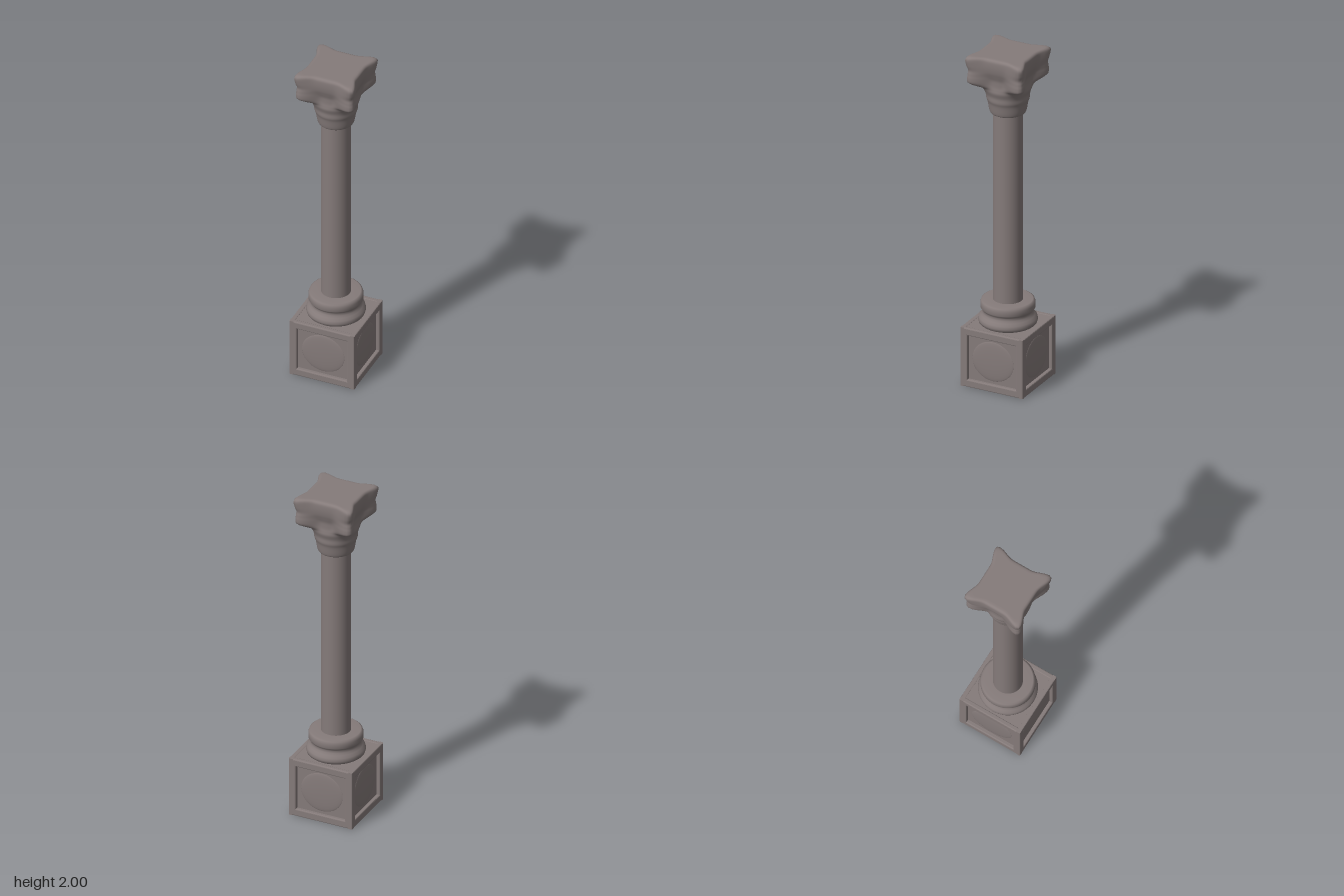
import * as THREE from 'three';

const material = new THREE.MeshStandardMaterial({ color: 0x857b7a });

function add(parent, name, geometry) {
  const mesh = new THREE.Mesh(geometry, material);
  mesh.name = name;
  parent.add(mesh);
  return mesh;
}

// Rectangle outline, centred on x, between two heights
function rect(path, halfWidth, y0, y1) {
  path.moveTo(-halfWidth, y0);
  path.lineTo(halfWidth, y0);
  path.lineTo(halfWidth, y1);
  path.lineTo(-halfWidth, y1);
  path.closePath();
  return path;
}

// Square pedestal: core block, four raised frames, softly domed panels
function createPedestal() {
  const group = new THREE.Group();
  group.name = 'pedestal';
  add(group, 'pedestalCore', new THREE.BoxGeometry(0.35, 0.351, 0.35)).position.y = 0.178;

  const bevel = 0.006;
  const outline = rect(new THREE.Shape(), 0.196 - bevel, bevel, 0.356 - bevel);
  outline.holes.push(rect(new THREE.Path(), 0.151 + bevel, 0.044 - bevel, 0.312 + bevel));
  const frame = new THREE.ExtrudeGeometry(outline, {
    depth: 0.016, bevelEnabled: true, bevelSize: bevel, bevelThickness: bevel, bevelSegments: 2,
  });
  const dome = new THREE.SphereGeometry(1, 32, 8, 0, Math.PI * 2, 0, Math.PI / 2);
  dome.rotateX(Math.PI / 2);
  dome.scale(0.13, 0.12, 0.009);

  for (let i = 0; i < 4; i++) {
    const side = new THREE.Group();
    side.name = 'pedestalSide';
    side.rotation.y = i * Math.PI / 2;
    add(side, 'panelFrame', frame).position.z = 0.174;
    add(side, 'panelDome', dome).position.set(0, 0.178, 0.174);
    group.add(side);
  }
  return group;
}

// Capital sections: [height, half width, squareness, corner bulge, corner sharpness]
const sections = [
  [1.635, 0.086, 2, 0, 4],
  [1.637, 0.098, 2, 0, 4],
  [1.655, 0.105, 2, 0, 4],
  [1.70, 0.113, 2, 0, 4],
  [1.725, 0.121, 2, 0, 4],
  [1.755, 0.122, 2, 0.004, 4],
  [1.785, 0.131, 2, 0.008, 4],
  [1.805, 0.130, 2.1, 0.025, 4],
  [1.822, 0.128, 2.2, 0.068, 5],
  [1.84, 0.128, 2.3, 0.098, 6],
  [1.865, 0.130, 2.5, 0.097, 6],
  [1.89, 0.138, 3.2, 0.076, 7],
  [1.915, 0.146, 5, 0.050, 8],
  [1.945, 0.151, 8, 0.045, 10],
  [1.975, 0.152, 10, 0.047, 12],
  [1.99, 0.149, 10, 0.045, 12],
  [1.998, 0.140, 10, 0.040, 12],
  [2.0, 0.125, 10, 0.034, 12],
];

// Round bell swelling into four corner scrolls and a concave square slab
function createCapital() {
  const around = 96, rows = 72;
  const curve = (k) => new THREE.SplineCurve(sections.map((s, i) => new THREE.Vector2(i, s[k])));
  const curves = [0, 1, 2, 3, 4].map(curve);
  const positions = [], indices = [];
  for (let j = 0; j <= rows; j++) {
    const [y, half, square, bulge, sharp] = curves.map((c) => c.getPoint(j / rows).y);
    for (let i = 0; i < around; i++) {
      const a = i / around * Math.PI * 2;
      const c = Math.abs(Math.cos(a)), s = Math.abs(Math.sin(a));
      const r = half * Math.pow(Math.pow(c, square) + Math.pow(s, square), -1 / square)
        + bulge * Math.pow(2 * c * s, sharp);
      positions.push(r * Math.sin(a), Math.min(y, 2), r * Math.cos(a));
    }
  }
  for (let j = 0; j < rows; j++) {
    for (let i = 0; i < around; i++) {
      const a = j * around + i, b = j * around + (i + 1) % around;
      indices.push(a, b, b + around, a, b + around, a + around);
    }
  }
  // Closed top and bottom
  const top = rows * around, centre = positions.length / 3;
  positions.push(0, 2, 0, 0, 1.635, 0);
  for (let i = 0; i < around; i++) {
    const n = (i + 1) % around;
    indices.push(top + i, top + n, centre, n, i, centre + 1);
  }
  const geometry = new THREE.BufferGeometry();
  geometry.setAttribute('position', new THREE.Float32BufferAttribute(positions, 3));
  geometry.setIndex(indices);
  geometry.computeVertexNormals();
  return geometry;
}

export function createModel() {
  const model = new THREE.Group();
  model.name = 'column';
  model.add(createPedestal());

  // Turned base mouldings: two rounded rings with a hollow between
  const profile = [
    [0.150, 0.35], [0.162, 0.36], [0.166, 0.375], [0.162, 0.392], [0.150, 0.405],
    [0.143, 0.418], [0.140, 0.430], [0.146, 0.440], [0.153, 0.450], [0.153, 0.475],
    [0.148, 0.490], [0.138, 0.496], [0.08, 0.496],
  ].map(([r, y]) => new THREE.Vector2(r, y));
  add(model, 'baseMoulding', new THREE.LatheGeometry(profile, 64));

  add(model, 'shaft', new THREE.CylinderGeometry(0.084, 0.084, 1.17, 48)).position.y = 1.065;
  add(model, 'capital', createCapital());
  return model;
}
